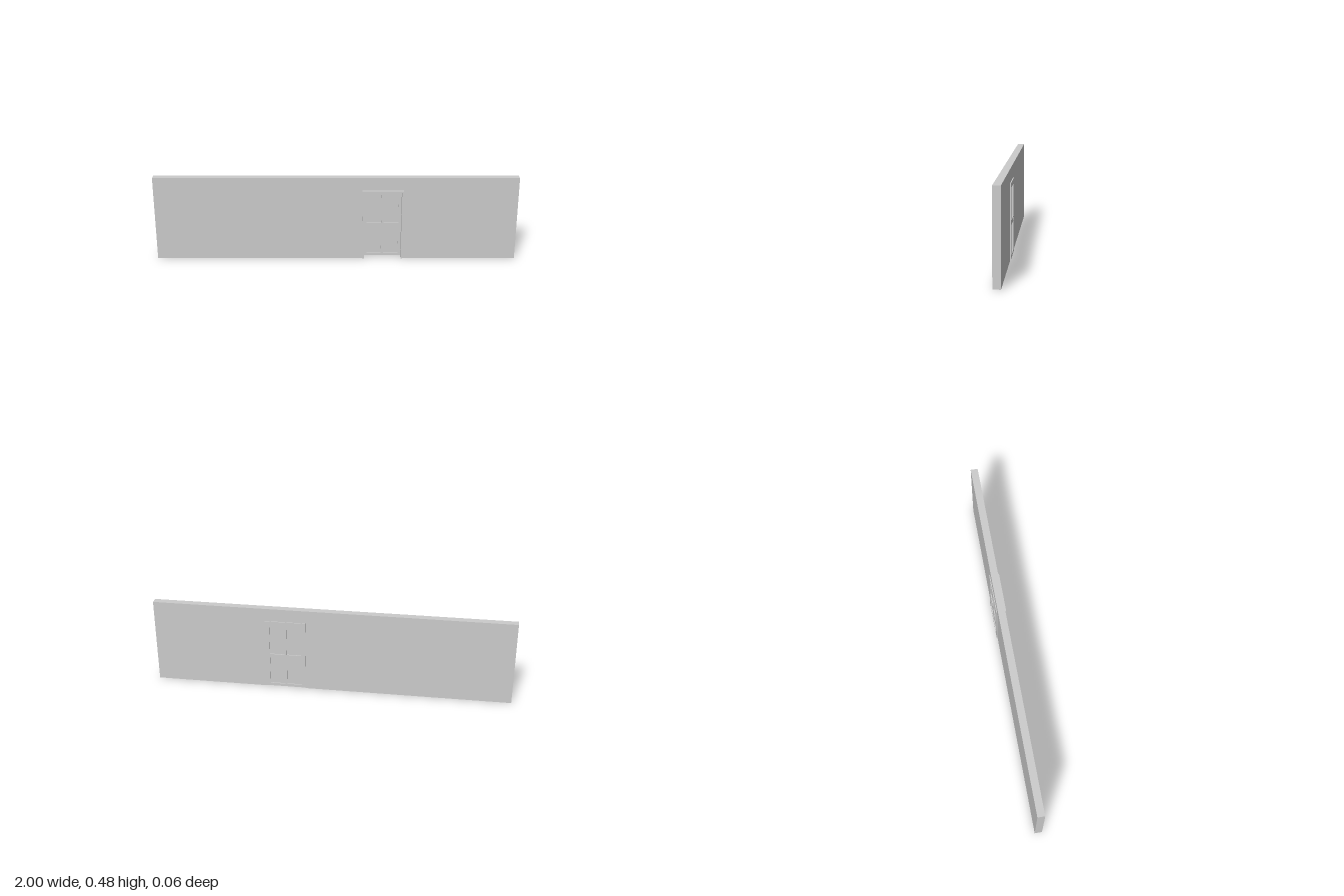
import * as THREE from 'three';

const material = new THREE.MeshStandardMaterial({ color: 0xcccccc });

// Flat outline extruded from z0 to z1, with optional rectangular holes
function slab(name, points, z0, z1, holes = []) {
  const shape = new THREE.Shape(points.map(([x, y]) => new THREE.Vector2(x, y)));
  for (const [x0, y0, x1, y1] of holes) {
    shape.holes.push(new THREE.Path([[x0, y0], [x0, y1], [x1, y1], [x1, y0]]
      .map(([x, y]) => new THREE.Vector2(x, y))));
  }
  const geometry = new THREE.ExtrudeGeometry(shape, { depth: z1 - z0, bevelEnabled: false });
  geometry.translate(0, 0, z0);
  const mesh = new THREE.Mesh(geometry, material);
  mesh.name = name;
  return mesh;
}

const rect = (x0, y0, x1, y1) => [[x0, y0], [x1, y0], [x1, y1], [x0, y1]];

// Outline of a rectangle with a doorway cut up from its lower edge
const arch = (x0, x1, y0, y1, left, right, top) => [
  [x0, y0], [left, y0], [left, top], [right, top], [right, y0], [x1, y0], [x1, y1], [x0, y1],
];

export function createModel() {
  const group = new THREE.Group();
  group.name = 'wallWithDoor';

  // Long wall with a doorway
  group.add(slab('wall', arch(-1, 1, 0, 0.48, 0.15, 0.366, 0.402), -0.022, 0.018));

  // Frame lining the doorway, standing proud of the front
  group.add(slab('doorFrame', arch(0.145, 0.371, 0.003, 0.407, 0.157, 0.362, 0.397), -0.015, 0.028));

  // Door: recessed panels between stiles and rails, set flush with the rear trim
  const door = new THREE.Group();
  door.name = 'door';
  const panes = [];
  for (const [x0, x1] of [[0.171, 0.252], [0.264, 0.347]]) {
    for (const [y0, y1] of [[0.022, 0.182], [0.206, 0.38]]) panes.push([x0, y0, x1, y1]);
  }
  door.add(slab('rearStilesAndRails', rect(0.145, 0.006, 0.371, 0.407), -0.027, -0.021, panes));
  door.add(slab('panel', rect(0.15, 0.006, 0.366, 0.402), -0.021, -0.015));
  door.add(slab('frontStilesAndRails', rect(0.157, 0.006, 0.362, 0.397), -0.015, -0.009, panes));

  // Small latch on each face
  for (const z of [-0.027, -0.009]) {
    const latch = new THREE.Mesh(new THREE.BoxGeometry(0.004, 0.014, 0.002), material);
    latch.position.set(0.164, 0.187, z);
    latch.name = 'latch';
    door.add(latch);
  }
  group.add(door);
  return group;
}
